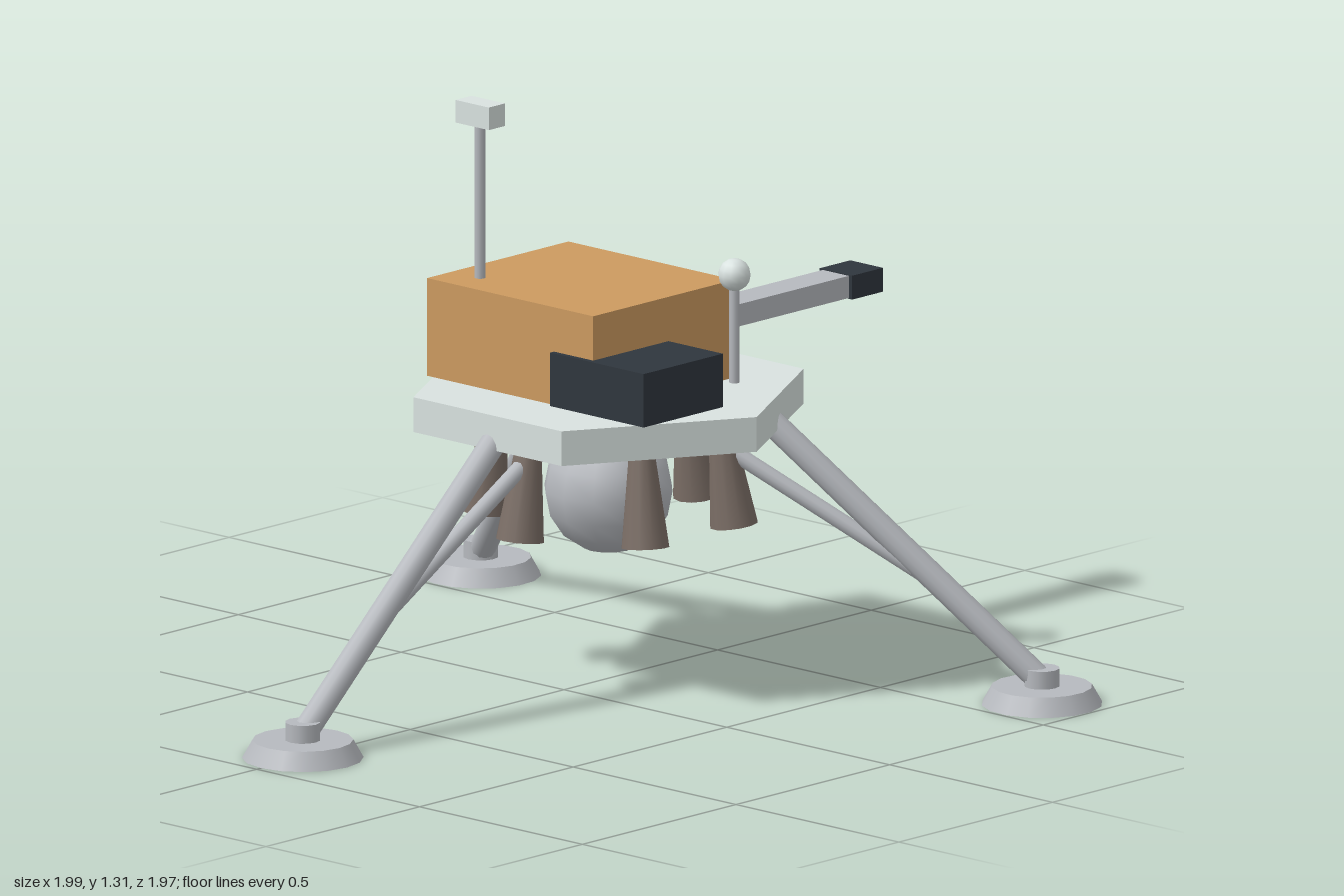
import * as THREE from 'three';
import { toCreasedNormals } from 'three/addons/utils/BufferGeometryUtils.js';

const material = (name, color, side = THREE.FrontSide) => {
  const m = new THREE.MeshStandardMaterial({ color, side });
  m.name = name;
  return m;
};

export function createModel() {
  const paleMetal = material('pale metal', 0xd9e2e0);
  const greyMetal = material('grey metal', 0xb6b9be);
  const goldFoil = material('gold foil', 0xcc9a60);
  const darkPanel = material('dark panel', 0x2f363d);
  const nozzleBrown = material('nozzle brown', 0x7a6d65, THREE.DoubleSide);

  const model = new THREE.Group();
  model.name = 'lander';
  const CENTRE_Z = -0.145; // middle of the hexagonal deck

  const add = (parent, name, geometry, mat, x = 0, y = 0, z = 0) => {
    const mesh = new THREE.Mesh(geometry, mat);
    mesh.name = name;
    mesh.position.set(x, y, z);
    parent.add(mesh);
    return mesh;
  };

  // box given by its min and max corners
  const box = (name, mat, [x0, y0, z0], [x1, y1, z1]) =>
    add(model, name, new THREE.BoxGeometry(x1 - x0, y1 - y0, z1 - z0), mat,
      (x0 + x1) / 2, (y0 + y1) / 2, (z0 + z1) / 2);

  // round bar from point a to point b
  const bar = (parent, name, mat, a, b, rA, rB = rA, open = false) => {
    const start = new THREE.Vector3(...a);
    const end = new THREE.Vector3(...b);
    const dir = end.clone().sub(start);
    const mesh = add(parent, name, new THREE.CylinderGeometry(rB, rA, dir.length(), 12, 1, open), mat);
    mesh.position.copy(start).add(end).multiplyScalar(0.5);
    mesh.quaternion.setFromUnitVectors(new THREE.Vector3(0, 1, 0), dir.normalize());
  };

  // hexagonal deck
  const hex = toCreasedNormals(new THREE.CylinderGeometry(0.455, 0.455, 0.08, 6), 0.3);
  add(model, 'deck', hex, paleMetal, 0, 0.64, CENTRE_Z).rotation.y = Math.PI / 6;

  // equipment on the deck
  box('body', goldFoil, [-0.34, 0.68, -0.375], [0.17, 0.905, 0.085]);
  box('sideUnit', darkPanel, [0.05, 0.68, -0.16], [0.337, 0.803, 0.098]);
  box('arm', greyMetal, [-0.04, 0.747, -0.905], [0.04, 0.798, -0.395]);
  box('armTip', darkPanel, [-0.05, 0.745, -0.985], [0.05, 0.8, -0.885]);

  // camera mast and ball antenna
  bar(model, 'cameraMast', greyMetal, [-0.258, 0.9, 0], [-0.258, 1.265, 0], 0.013);
  box('cameraHead', paleMetal, [-0.308, 1.258, -0.026], [-0.206, 1.31, 0.026]);
  bar(model, 'antennaRod', greyMetal, [0.2, 0.675, -0.343], [0.2, 0.91, -0.343], 0.012);
  add(model, 'antennaBall', new THREE.SphereGeometry(0.037, 12, 8), paleMetal, 0.2, 0.928, -0.343);

  // fuel tank under the deck
  add(model, 'tank', new THREE.SphereGeometry(0.147, 12, 8), greyMetal, 0, 0.439, CENTRE_Z);

  // three legs, each built pointing forwards and turned about the deck centre
  for (let i = 0; i < 3; i++) {
    const leg = new THREE.Group();
    leg.name = 'leg';
    leg.position.z = CENTRE_Z;
    leg.rotation.y = (i * Math.PI * 2) / 3;
    bar(leg, 'mainStrut', greyMetal, [0, 0.62, 0.365], [0, 0.055, 0.99], 0.03);
    bar(leg, 'braceStrut', greyMetal, [0, 0.62, 0.145], [0, 0.275, 0.735], 0.019);
    add(leg, 'footPad', new THREE.CylinderGeometry(0.113, 0.136, 0.041, 16), greyMetal, 0, 0.0205, 0.995);
    add(leg, 'ankle', new THREE.CylinderGeometry(0.04, 0.04, 0.05, 12), greyMetal, 0, 0.057, 0.995);
    model.add(leg);
  }

  // ring of six open nozzles, splayed slightly outwards
  for (let i = 0; i < 6; i++) {
    const a = (i * Math.PI) / 3;
    const at = (r, y) => [Math.sin(a) * r, y, CENTRE_Z + Math.cos(a) * r];
    bar(model, 'nozzle', nozzleBrown, at(0.288, 0.371), at(0.26, 0.58), 0.055, 0.03, true);
  }

  return model;
}
